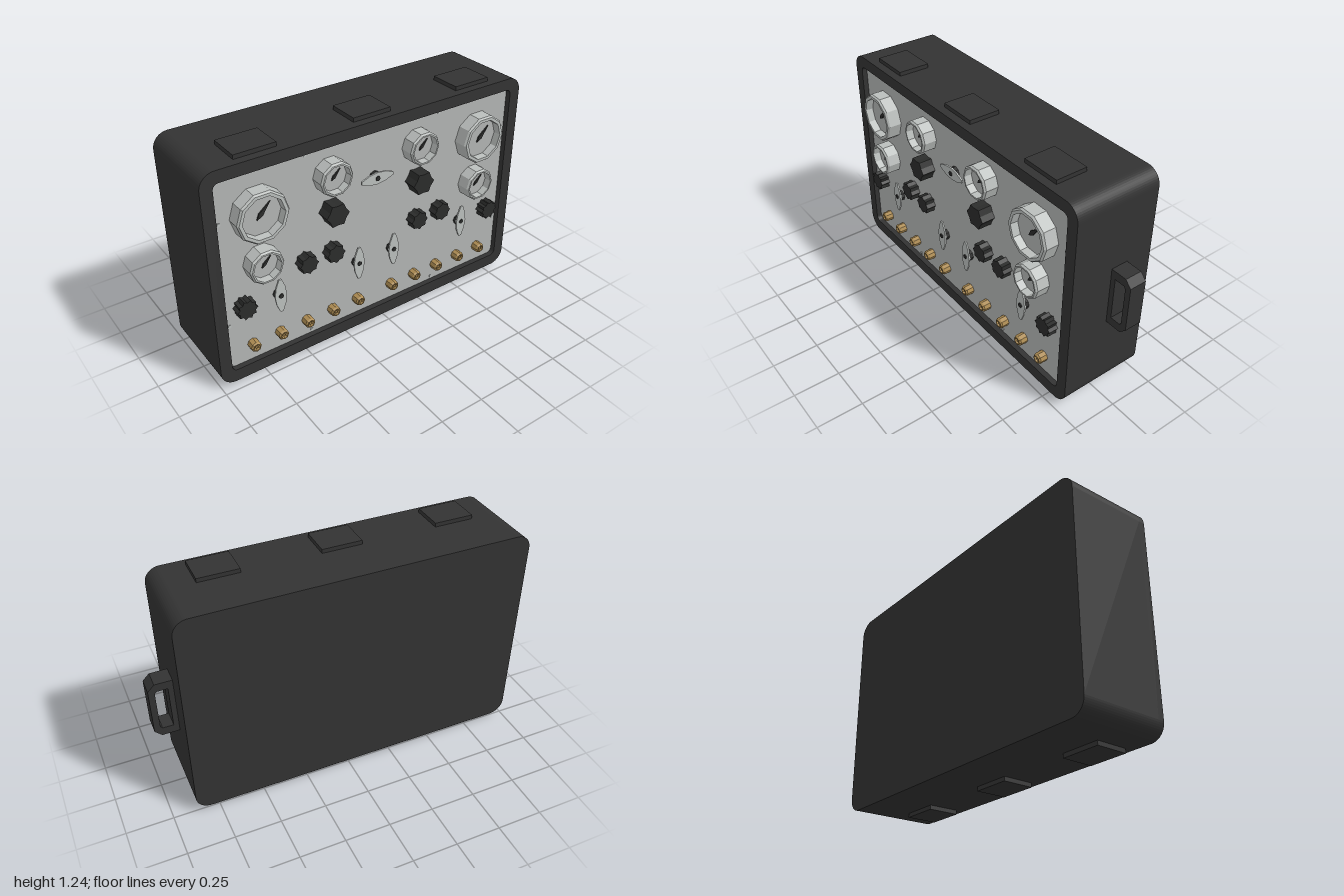
import * as THREE from 'three';

const mat = (name, color, flatShading = false) => {
  const m = new THREE.MeshStandardMaterial({ color, flatShading });
  m.name = name;
  return m;
};

// Rounded rectangle as a Shape
function roundedRect(x0, x1, y0, y1, r) {
  const s = new THREE.Shape();
  s.absarc(x1 - r, y0 + r, r, -Math.PI / 2, 0);
  s.absarc(x1 - r, y1 - r, r, 0, Math.PI / 2);
  s.absarc(x0 + r, y1 - r, r, Math.PI / 2, Math.PI);
  s.absarc(x0 + r, y0 + r, r, Math.PI, Math.PI * 1.5);
  s.closePath();
  return s;
}

const polygon = pts => new THREE.Shape(pts.map(p => new THREE.Vector2(p[0], p[1])));

// Star outline for the grip knobs
function star(points, outer, inner) {
  const pts = [];
  for (let i = 0; i < points * 2; i++) {
    const a = i * Math.PI / points, r = i % 2 ? inner : outer;
    pts.push([r * Math.cos(a), r * Math.sin(a)]);
  }
  return polygon(pts);
}

// Extrude a shape between two z values
function slab(shape, z0, z1) {
  return new THREE.ExtrudeGeometry(shape, { depth: z1 - z0, bevelEnabled: false, curveSegments: 6 })
    .translate(0, 0, z0);
}

// Revolve [radius, z] points around z with a corner on the x axis
function turned(profile, sides) {
  return new THREE.LatheGeometry(profile.map(p => new THREE.Vector2(p[0], p[1])), sides, Math.PI / 2)
    .rotateX(Math.PI / 2);
}

export function createModel() {
  const model = new THREE.Group();
  const black = mat('case black', 0x333333);
  const dark = mat('knob black', 0x2b2c2b, true);
  const panelGrey = mat('panel grey', 0xb3b5b4);
  const steel = mat('steel', 0xbbbfbd, true);
  const brass = mat('brass', 0xac8b52, true);

  const add = (name, geo, material, parent = model) => {
    const m = new THREE.Mesh(geo, material);
    m.name = name;
    parent.add(m);
    return m;
  };
  const place = (name, x, y) => {
    const g = new THREE.Group();
    g.name = name;
    g.position.set(x, y, 0);
    model.add(g);
    return g;
  };

  // Case body with a raised rim around the panel
  const FACE = 0.187;
  add('caseBody', slab(roundedRect(-1, 0.875, 0.023, 1.218, 0.08), -0.265, 0.18), black);
  const rim = roundedRect(-1, 0.875, 0.023, 1.218, 0.08);
  rim.holes.push(roundedRect(-0.937, 0.812, 0.092, 1.155, 0.03));
  add('caseRim', slab(rim, 0.18, 0.215), black);
  add('controlPanel', slab(roundedRect(-0.935, 0.81, 0.094, 1.153, 0.03), 0.18, FACE), panelGrey);

  // Pads on the top and bottom
  for (const x of [-0.7, -0.065, 0.57])
    for (const y of [0.0125, 1.2275])
      add('pad', new THREE.BoxGeometry(0.218, 0.025, 0.175).translate(x, y, 0.0825), black);

  // Carrying handle
  const grip = polygon([[0.87, 0.46], [0.965, 0.46], [1, 0.495], [1, 0.75], [0.965, 0.785], [0.87, 0.785]]);
  grip.holes.push(polygon([[0.902, 0.505], [0.902, 0.74], [0.958, 0.74], [0.968, 0.728], [0.968, 0.517], [0.958, 0.505]]));
  add('carryHandle', slab(grip, -0.115, -0.02), black);

  // Gauges: bezel, dial and needle
  for (const [x, y, r] of [
    [-0.727, 0.936, 0.136], [0.6, 0.936, 0.136], [-0.329, 1, 0.092],
    [0.2, 1, 0.092], [-0.727, 0.662, 0.092], [0.598, 0.662, 0.092],
  ]) {
    const g = place('gauge', x, y), dial = 0.225, k = r / 0.136;
    add('bezel', turned([[r, 0.18], [r, 0.256], [r - 0.008, 0.266], [r * 0.82, 0.266], [r * 0.8, dial]], 10), steel, g);
    add('dial', new THREE.CircleGeometry(r * 0.82, 10).translate(0, 0, dial), panelGrey, g);
    const needle = polygon([[-0.03 * k, 0], [0, -0.012 * k], [0.078 * k, 0], [0, 0.012 * k]]);
    add('needle', slab(needle, dial, dial + 0.008).rotateZ(0.83), dark, g);
  }

  // Grip knobs: x, y, points, outer radius, inner radius, front z
  for (const [x, y, n, r, ri, z] of [
    [-0.329, 0.802, 6, 0.066, 0.053, 0.262], [0.2, 0.802, 6, 0.066, 0.053, 0.262],
    [-0.487, 0.564, 8, 0.053, 0.043, 0.24], [-0.329, 0.564, 8, 0.053, 0.043, 0.24],
    [0.202, 0.564, 8, 0.053, 0.043, 0.24], [0.358, 0.564, 8, 0.053, 0.043, 0.24],
    [-0.837, 0.447, 10, 0.055, 0.043, 0.24], [0.711, 0.447, 10, 0.055, 0.043, 0.24],
  ]) add('gripKnob', slab(star(n, r, ri), FACE - 0.005, z), dark, place('knob', x, y));

  // Lens-shaped valve levers on dark stems
  const lens = polygon([
    [-0.096, 0.008], [-0.096, -0.008], [-0.05, -0.026], [0, -0.033], [0.05, -0.026],
    [0.096, -0.008], [0.096, 0.008], [0.05, 0.026], [0, 0.033], [-0.05, 0.026],
  ]);
  for (const [x, y, turn] of [
    [-0.644, 0.433, 1], [-0.176, 0.433, 1], [0.048, 0.433, 1], [0.519, 0.433, 1], [-0.064, 0.901, 0],
  ]) {
    const g = place('valve', x, y);
    g.rotation.z = turn * Math.PI / 2;
    add('valveStem', turned([[0.03, 0.18], [0.03, 0.21], [0, 0.21]], 8), dark, g);
    add('valveLever', slab(lens, 0.21, 0.219), steel, g);
    add('valveNut', turned([[0.013, 0.215], [0.013, 0.224], [0, 0.224]], 8), dark, g);
  }

  // Brass sockets in two rows of five
  for (const start of [-0.804, 0.048])
    for (let i = 0; i < 5; i++) {
      const g = place('socket', start + i * 0.157, 0.193);
      add('socketBody', turned([[0.029, 0.18], [0.029, 0.227], [0.022, 0.236], [0.017, 0.236], [0.016, 0.205], [0, 0.205]], 8), brass, g);
      add('socketPin', turned([[0.008, 0.2], [0.008, 0.23], [0, 0.23]], 6), brass, g);
    }

  // Panel screws
  const screws = [];
  for (const x of [-0.46, 0.34]) screws.push([x, 0.112], [x, 1.137]);
  for (const y of [0.35, 0.93]) screws.push([-0.917, y], [0.792, y]);
  for (const [x, y] of screws)
    add('panelScrew', turned([[0.009, 0.18], [0.009, 0.191], [0, 0.191]], 8).translate(x, y, 0), steel);

  return model;
}
